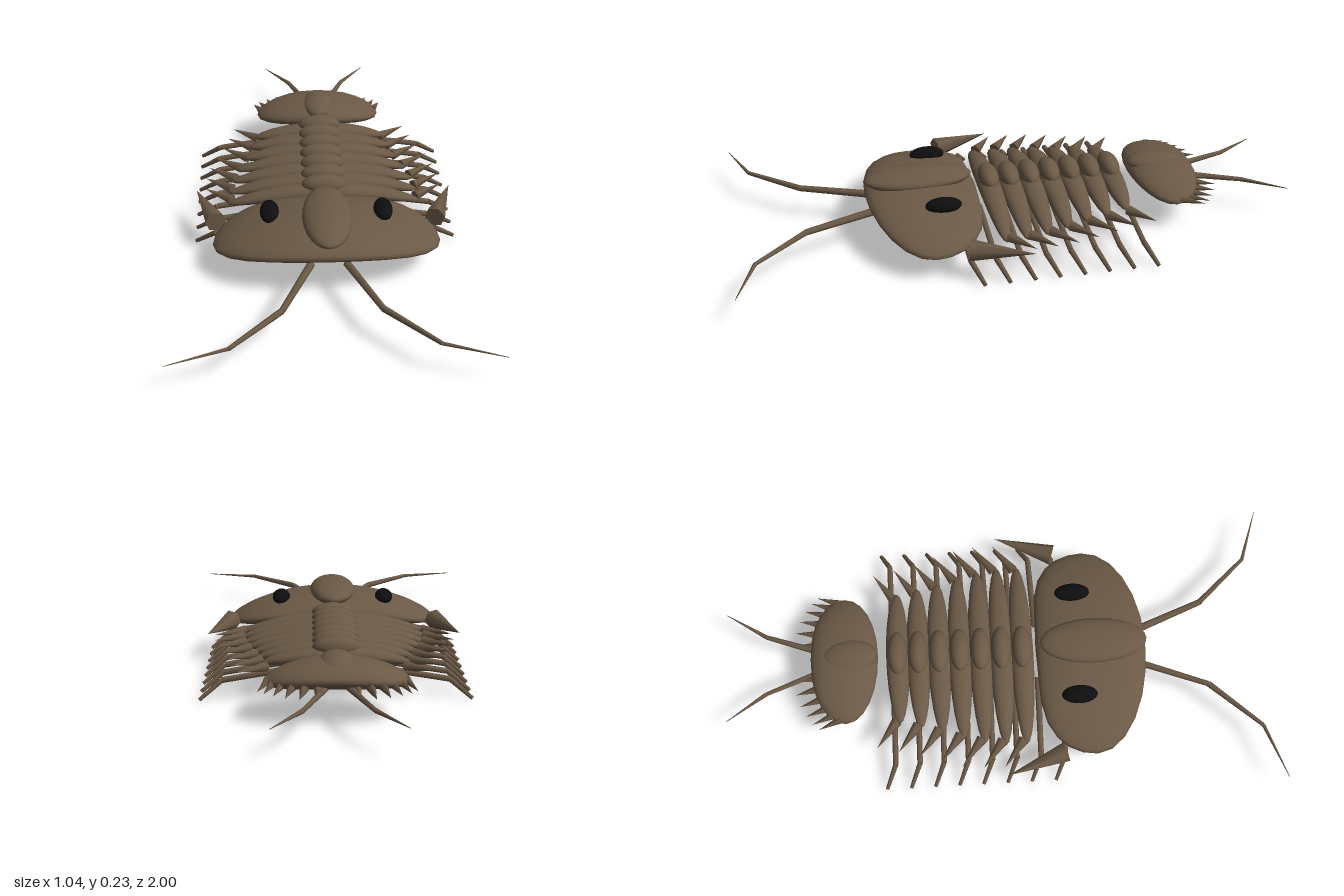
import * as THREE from 'three';

const shell = new THREE.MeshStandardMaterial({ color: 0x6b5946 });
shell.name = 'brown shell';
const eyeBlack = new THREE.MeshStandardMaterial({ color: 0x0e0e10 });
eyeBlack.name = 'eye black';

const V = (x, y, z) => new THREE.Vector3(x, y, z);

export function createModel() {
  const model = new THREE.Group();
  model.name = 'armouredArthropod';

  const add = (name, geometry, material = shell, parent = model) => {
    const mesh = new THREE.Mesh(geometry, material);
    mesh.name = name;
    parent.add(mesh);
    return mesh;
  };

  // Ellipsoid whose sides droop by droop * x^2; squareBack < 1 widens its rear half
  const dome = (name, centre, radii, droop = 0, squareBack = 1, material = shell) => {
    const geo = new THREE.SphereGeometry(1, 24, 16);
    const p = geo.attributes.position;
    for (let i = 0; i < p.count; i++) {
      let x = p.getX(i);
      const z = p.getZ(i), r = Math.hypot(x, z);
      if (z < -1e-6 && r > 1e-6) x = Math.sign(x) * r * Math.pow(Math.abs(x) / r, squareBack);
      x *= radii[0];
      p.setXYZ(i, x, p.getY(i) * radii[1] - droop * x * x, z * radii[2]);
    }
    geo.computeVertexNormals();
    const mesh = add(name, geo, material);
    mesh.position.set(...centre);
    return mesh;
  };

  // Tapered rod or spike from a to b
  const rod = (name, a, b, ra, rb, sides = 6, parent = model) => {
    const dir = b.clone().sub(a);
    const mesh = add(name, new THREE.CylinderGeometry(rb, ra, dir.length(), sides), shell, parent);
    mesh.position.copy(a).add(b).multiplyScalar(0.5);
    mesh.quaternion.setFromUnitVectors(V(0, 1, 0), dir.normalize());
    return mesh;
  };

  // Jointed limb through a few points, thinning towards the end
  const limb = (name, points, radii) => {
    const group = new THREE.Group();
    group.name = name;
    for (let i = 0; i < points.length - 1; i++)
      rod(name + 'Part' + (i + 1), points[i], points[i + 1], radii[i], radii[i + 1], 6, group);
    model.add(group);
  };

  // Head shield with its raised middle lobe
  dome('headShield', [0, 0.15, 0.325], [0.392, 0.05, 0.2], 0.39, 0.5);
  dome('headLobe', [0, 0.198, 0.332], [0.085, 0.037, 0.193]);

  // Overlapping body plates, narrowing to the rear
  const halfWidths = [0.345, 0.345, 0.335, 0.315, 0.29, 0.27, 0.25];
  halfWidths.forEach((w, i) => {
    const z = 0.075 - i * 0.075;
    dome('bodyPlate' + (i + 1), [0, 0.145, z], [w, 0.03, 0.042], 0.4);
    dome('bodyLobe' + (i + 1), [0, 0.172, z], [0.08, 0.038, 0.037]);
  });

  // Tail shield with its lobe
  dome('tailShield', [0, 0.147, -0.568], [0.24, 0.045, 0.122], 0.5, 0.85);
  dome('tailLobe', [0, 0.172, -0.545], [0.06, 0.033, 0.098]);

  // Paired parts
  for (const s of [1, -1]) {
    const side = s > 0 ? 'left' : 'right';

    dome(side + 'Eye', [s * 0.196, 0.184, 0.27], [0.033, 0.027, 0.064], 0, 1, eyeBlack);
    rod(side + 'CheekSpine', V(s * 0.385, 0.108, 0.21), V(s * 0.46, 0.112, 0.0), 0.038, 0, 6);

    halfWidths.forEach((w, i) => {
      const z = 0.075 - i * 0.075;
      rod(side + 'PlateSpine' + (i + 1), V(s * (w - 0.015), 0.108, z - 0.012),
        V(s * (w + 0.085), 0.112, z - 0.085), 0.02, 0, 6);
    });

    // Walking legs
    for (let i = 0; i < 8; i++) {
      const z = 0.21 - i * 0.087;
      limb(side + 'Leg' + (i + 1),
        [V(s * 0.1, 0.112, z + 0.005), V(s * 0.385, 0.065, z), V(s * 0.458, 0.008, z - 0.036)],
        [0.011, 0.01, 0.007]);
    }

    // Feelers in front
    limb(side + 'Antenna',
      [V(s * 0.06, 0.112, 0.49), V(s * 0.16, 0.112, 0.745), V(s * 0.325, 0.108, 0.925), V(s * 0.52, 0.103, 0.995)],
      [0.014, 0.011, 0.007, 0.001]);

    // Feelers behind
    limb(side + 'TailFeeler',
      [V(s * 0.035, 0.12, -0.65), V(s * 0.11, 0.114, -0.855), V(s * 0.205, 0.11, -1.0)],
      [0.012, 0.008, 0.001]);

    // Spikes around the rear rim of the tail
    [[0.07, -0.75], [0.12, -0.75], [0.165, -0.735], [0.203, -0.713], [0.234, -0.69], [0.255, -0.668]]
      .forEach(([x, z], i) => {
        rod(side + 'TailSpike' + (i + 1), V(s * x * 0.87, 0.125, z + 0.085), V(s * x, 0.112, z), 0.016, 0, 5);
      });
  }

  return model;
}
